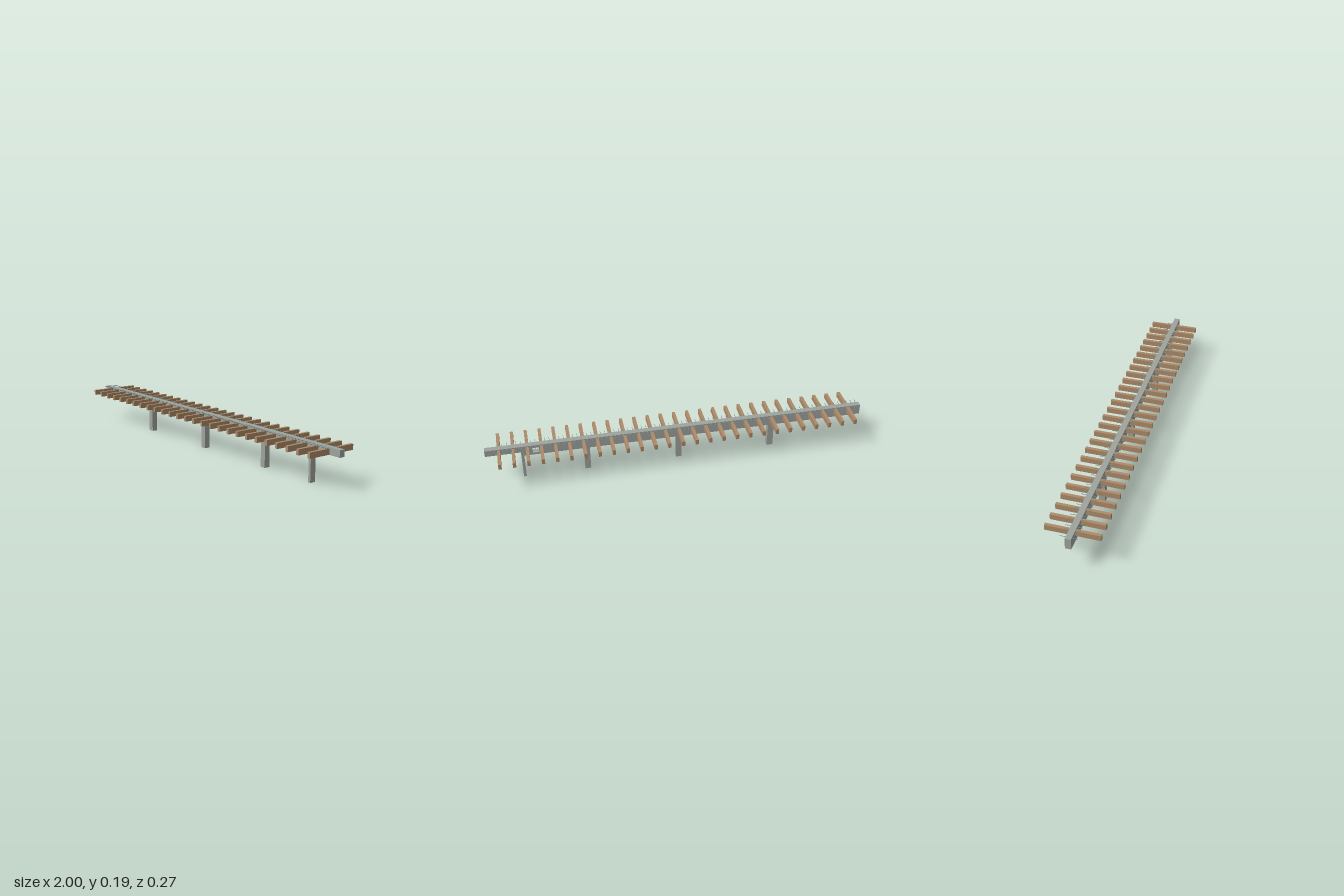
import * as THREE from 'three';

export function createModel() {
  const model = new THREE.Group();
  const concrete = new THREE.MeshStandardMaterial({ color: 0x9ea39d, name: 'concrete grey' });
  const wood = new THREE.MeshStandardMaterial({ color: 0xad8a68, name: 'timber brown' });
  const steel = new THREE.MeshStandardMaterial({ color: 0x6f8f90, name: 'steel teal' });

  const addBox = (name, material, [w, h, d], [x, y, z]) => {
    const mesh = new THREE.Mesh(new THREE.BoxGeometry(w, h, d), material);
    mesh.name = name;
    mesh.position.set(x, y, z);
    model.add(mesh);
  };

  // Long beam, stepped at one end and pierced by a small square opening
  const depth = 0.03;
  const side = new THREE.Shape([
    [-1, 0.134], [0.82, 0.134], [0.82, 0.157], [1, 0.157], [1, 0.191], [-1, 0.191],
  ].map(([x, y]) => new THREE.Vector2(x, y)));
  side.holes.push(new THREE.Path([
    [0.727, 0.145], [0.727, 0.175], [0.76, 0.175], [0.76, 0.145],
  ].map(([x, y]) => new THREE.Vector2(x, y))));
  const beamGeometry = new THREE.ExtrudeGeometry(side, { depth, bevelEnabled: false });
  beamGeometry.translate(0, 0, -depth / 2);
  const beam = new THREE.Mesh(beamGeometry, concrete);
  beam.name = 'beam';
  model.add(beam);

  // Support posts: centre and width
  for (const [x, width] of [[-0.503, 0.032], [0, 0.03], [0.485, 0.03], [0.813, 0.014]]) {
    addBox('post', concrete, [width, 0.134, depth], [x, 0.067, 0]);
  }

  // Timber cross ties
  for (let i = 0; i < 27; i++) {
    addBox('crossTie', wood, [0.016, 0.028, 0.267], [-0.93 + i * 0.0715, 0.172, 0]);
  }

  // Fine steel rods just under the top of the beam
  for (let x = -0.985; x < 0.95; x += 0.024) {
    addBox('rod', steel, [0.002, 0.0015, 0.083], [x, 0.1895, 0]);
  }
  return model;
}
